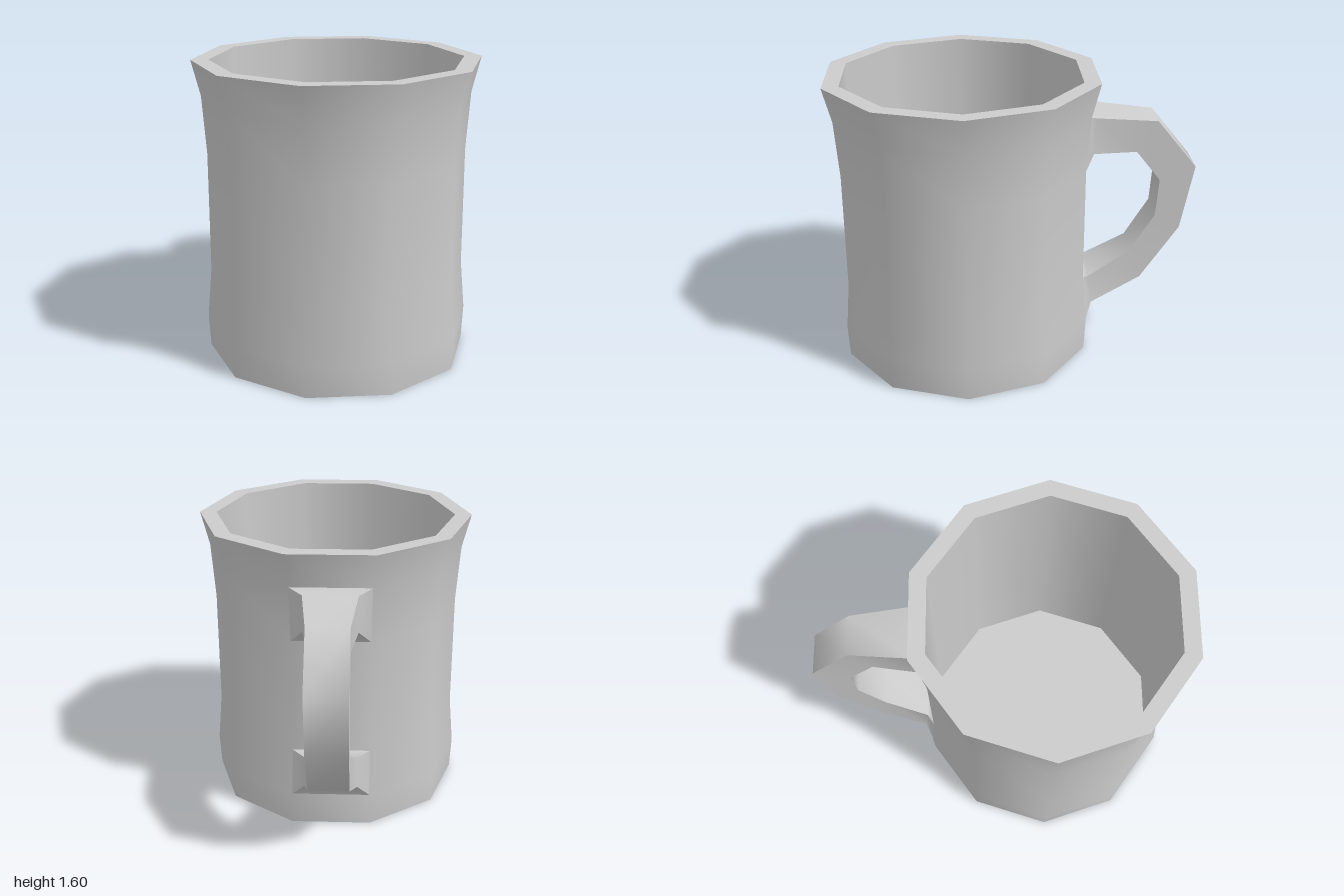
import * as THREE from 'three';

const SIDES = 10;
const CENTER_Z = 0.275;
const material = new THREE.MeshStandardMaterial({ color: 0xcccccc });

// One ten-sided surface turned from a [radius, y] profile, corners on the x axis
function turned(name, profile) {
  const points = profile.map(([r, y]) => new THREE.Vector2(r, y));
  const mesh = new THREE.Mesh(new THREE.LatheGeometry(points, SIDES, Math.PI / 2), material);
  mesh.name = name;
  mesh.position.z = CENTER_Z;
  return mesh;
}

// Smooth strip between two rows of points
function strip(rowA, rowB) {
  const index = [];
  const n = rowA.length;
  for (let i = 0; i < n - 1; i++) {
    index.push(i, i + 1, n + i, i + 1, n + i + 1, n + i);
  }
  const geometry = new THREE.BufferGeometry().setFromPoints([...rowA, ...rowB]);
  geometry.setIndex(index);
  geometry.computeVertexNormals();
  return geometry;
}

// Handle sections from top to bottom: outer z, y, inner z, y, half width outer, inner
const SECTIONS = [
  [-0.40, 1.41, -0.38, 1.10, 0.22, 0.213],
  [-0.44, 1.38, -0.43, 1.175, 0.145, 0.145],
  [-0.78, 1.345, -0.67, 1.17, 0.11, 0.11],
  [-1.00, 1.075, -0.805, 1.00, 0.11, 0.11],
  [-0.93, 0.71, -0.79, 0.79, 0.11, 0.11],
  [-0.72, 0.40, -0.655, 0.57, 0.11, 0.11],
  [-0.44, 0.26, -0.42, 0.43, 0.145, 0.145],
  [-0.40, 0.18, -0.38, 0.455, 0.22, 0.213],
];

function createHandle() {
  const handle = new THREE.Group();
  handle.name = 'handle';
  // Four corner rows running along the handle
  const rows = [
    SECTIONS.map(([z, y, , , w]) => new THREE.Vector3(w, y, z)),
    SECTIONS.map(([z, y, , , w]) => new THREE.Vector3(-w, y, z)),
    SECTIONS.map(([, , z, y, , w]) => new THREE.Vector3(-w, y, z)),
    SECTIONS.map(([, , z, y, , w]) => new THREE.Vector3(w, y, z)),
  ];
  ['handleOuter', 'handleRight', 'handleInner', 'handleLeft'].forEach((name, k) => {
    const mesh = new THREE.Mesh(strip(rows[k], rows[(k + 1) % 4]), material);
    mesh.name = name;
    handle.add(mesh);
  });
  return handle;
}

export function createModel() {
  const mug = new THREE.Group();
  mug.name = 'mug';
  mug.add(
    turned('base', [[0, 0], [0.705, 0]]),
    turned('outerWall', [[0.705, 0], [0.714, 0.18], [0.69, 0.45], [0.69, 1.10], [0.712, 1.41], [0.76, 1.6]]),
    turned('rim', [[0.76, 1.6], [0.667, 1.6]]),
    turned('innerWall', [[0.667, 1.6], [0.667, 0.1]]),
    turned('innerFloor', [[0.667, 0.1], [0, 0.1]]),
    createHandle(),
  );
  return mug;
}
